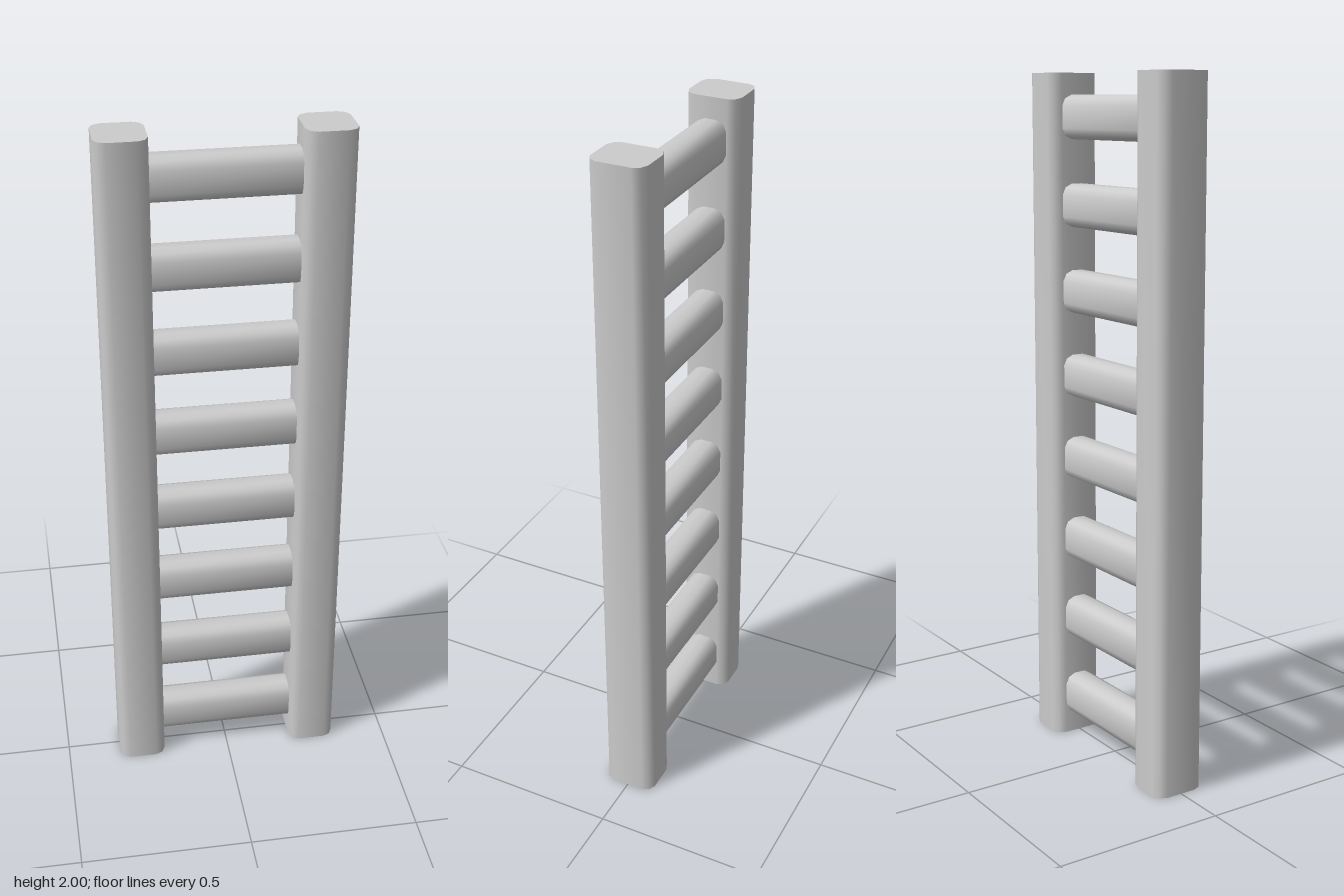
import * as THREE from 'three';
import { toCreasedNormals } from 'three/addons/utils/BufferGeometryUtils.js';

// Bar with a rectangular section whose corners are rounded in two facets
function roundedBar(halfW, halfH, length, bevel) {
  const near = bevel * 0.32;
  const corner = [
    [halfW, halfH - bevel],
    [halfW - near, halfH - near],
    [halfW - bevel, halfH],
  ];
  const points = [];
  for (const [sx, sy] of [[1, 1], [-1, 1], [-1, -1], [1, -1]]) {
    const ordered = sx * sy > 0 ? corner : [...corner].reverse();
    for (const [x, y] of ordered) points.push(new THREE.Vector2(sx * x, sy * y));
  }
  const geometry = new THREE.ExtrudeGeometry(new THREE.Shape(points), {
    depth: length, bevelEnabled: false,
  });
  geometry.translate(0, 0, -length / 2);
  return toCreasedNormals(geometry, Math.PI / 4);
}

export function createModel() {
  const model = new THREE.Group();
  model.name = 'ladder';
  const material = new THREE.MeshStandardMaterial({ color: 0xcccccc });

  // Two upright side rails
  const railGeometry = roundedBar(0.07, 0.078, 2, 0.03).rotateX(-Math.PI / 2);
  for (const [name, x] of [['leftRail', 0.27], ['rightRail', -0.27]]) {
    const rail = new THREE.Mesh(railGeometry, material);
    rail.name = name;
    rail.position.set(x, 1, 0);
    model.add(rail);
  }

  // Eight evenly spaced rungs, their ends set slightly into the rails
  const rungGeometry = roundedBar(0.047, 0.062, 0.41, 0.03).rotateY(Math.PI / 2);
  for (let i = 0; i < 8; i++) {
    const rung = new THREE.Mesh(rungGeometry, material);
    rung.name = `rung${i + 1}`;
    rung.position.y = 0.127 + i * 0.25;
    model.add(rung);
  }

  return model;
}
